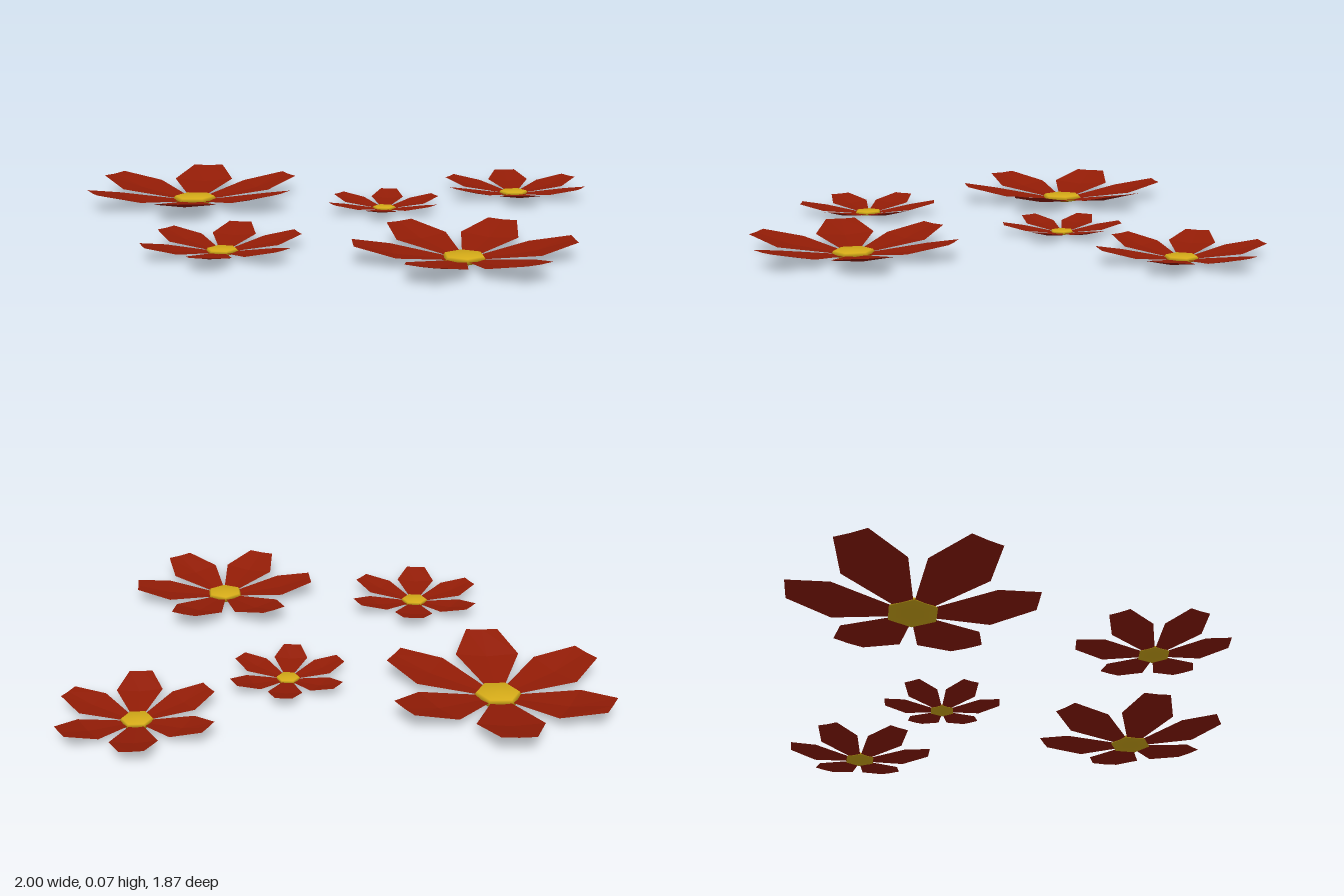
import * as THREE from 'three';
import { mergeVertices } from 'three/addons/utils/BufferGeometryUtils.js';

const petalRed = new THREE.MeshStandardMaterial({ color: 0x921c06, side: THREE.DoubleSide, flatShading: true });
petalRed.name = 'petalRed';
const centreYellow = new THREE.MeshStandardMaterial({ color: 0xd6ac18 });
centreYellow.name = 'centreYellow';

// Petal cross-sections for a flower of radius 1: [distance, half width, edge height, midline height]
const SECTIONS = [
  [0.17, 0.09, 0.02, 0.012],
  [0.64, 0.285, 0.09, 0.065],
  [1.0, 0.145, 0.17, 0.165],
];

// Open, gently cupped petal pointing along +x
function petalGeometry() {
  const points = [];
  const index = [];
  for (const [d, w, edge, mid] of SECTIONS) points.push(d, edge, -w, d, mid, 0, d, edge, w);
  for (let s = 0; s < SECTIONS.length - 1; s++) {
    for (let k = 0; k < 2; k++) {
      const a = s * 3 + k;
      index.push(a, a + 1, a + 3, a + 1, a + 4, a + 3);
    }
  }
  const geometry = new THREE.BufferGeometry();
  geometry.setAttribute('position', new THREE.Float32BufferAttribute(points, 3));
  geometry.setIndex(index);
  geometry.computeVertexNormals();
  return geometry;
}

// Six-sided bevelled button with soft, shared normals around the rim
function buttonGeometry() {
  const cylinder = new THREE.CylinderGeometry(0.185, 0.22, 0.045, 6);
  cylinder.translate(0, 0.0225, 0);
  cylinder.deleteAttribute('normal');
  cylinder.deleteAttribute('uv');
  const geometry = mergeVertices(cylinder);
  geometry.computeVertexNormals();
  return geometry;
}

const petal = petalGeometry();
const button = buttonGeometry();

function flower(x, z, radius, degrees) {
  const group = new THREE.Group();
  group.name = 'flower';
  for (let i = 0; i < 6; i++) {
    const mesh = new THREE.Mesh(petal, petalRed);
    mesh.name = 'petal';
    mesh.rotation.y = (i * Math.PI) / 3;
    group.add(mesh);
  }
  // Flat sides of the button meet the petals
  const centre = new THREE.Mesh(button, centreYellow);
  centre.name = 'flowerCentre';
  group.add(centre);
  group.position.set(x, 0, z);
  group.rotation.y = THREE.MathUtils.degToRad(degrees);
  group.scale.setScalar(radius);
  return group;
}

export function createModel() {
  const model = new THREE.Group();
  model.name = 'flowerPatch';
  // x, z, radius, turn
  const layout = [
    [-0.615, 0.285, 0.386, 16],
    [0.662, 0.212, 0.337, -9],
    [0.112, -0.668, 0.267, 18],
    [-0.027, -0.12, 0.203, 11],
    [0.088, 0.687, 0.248, 9],
  ];
  for (const spot of layout) model.add(flower(...spot));
  return model;
}
